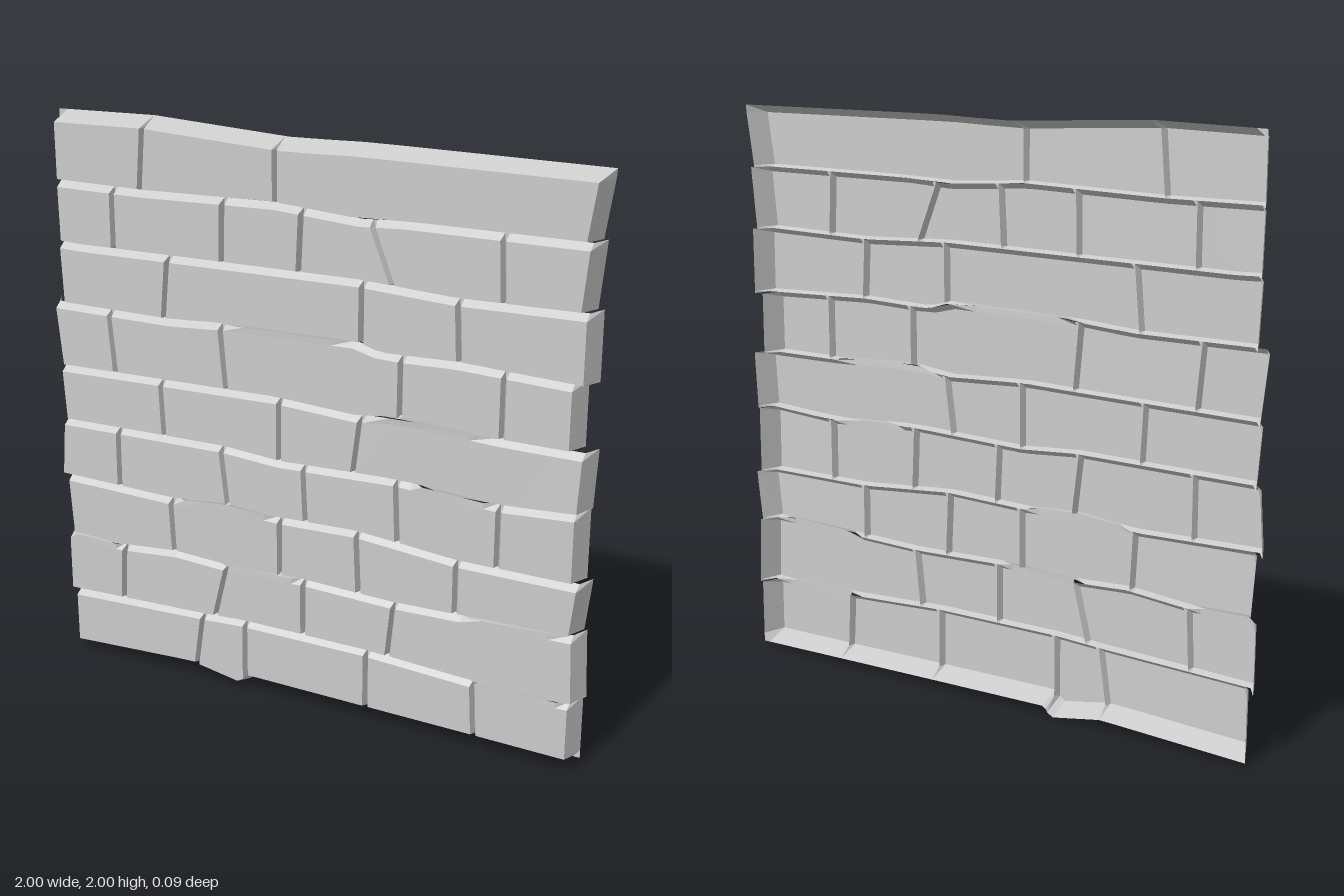
import * as THREE from 'three';

const BACK = -0.044, GROOVE = 0.012;

// Mortar lines from bottom to top, each a polyline of [x, y]
const lines = [
  [[-0.97, 0.01], [-0.44, 0.035], [-0.245, 0], [-0.225, 0.035], [0.24, 0.03], [0.99, 0.02]],
  [[-0.97, 0.24], [-0.42, 0.26], [-0.23, 0.27], [0.24, 0.27], [0.63, 0.25], [1, 0.25]],
  [[-1, 0.465], [-0.72, 0.46], [-0.5, 0.48], [-0.3, 0.47], [0, 0.48], [0.33, 0.47], [1, 0.49]],
  [[-1, 0.69], [-0.52, 0.68], [-0.3, 0.7], [-0.1, 0.69], [0.2, 0.7], [0.56, 0.67], [1, 0.67]],
  [[-1, 0.9], [-0.3, 0.91], [-0.09, 0.895], [0.35, 0.91], [0.7, 0.89], [1, 0.91]],
  [[-1, 1.1], [-0.3, 1.115], [-0.1, 1.12], [0.2, 1.105], [0.35, 1.125], [0.7, 1.11], [1, 1.11]],
  [[-1, 1.33], [-0.5, 1.33], [-0.3, 1.345], [0.2, 1.355], [0.28, 1.33], [0.54, 1.34], [1, 1.325]],
  [[-1, 1.55], [-0.85, 1.545], [-0.51, 1.55], [0.2, 1.56], [0.54, 1.545], [1, 1.555]],
  [[-1, 1.76], [-0.6, 1.76], [-0.1, 1.775], [0.2, 1.755], [0.35, 1.765], [1, 1.77]],
  [[-0.97, 1.99], [-0.59, 2], [-0.07, 1.975], [0.2, 1.985], [1, 1.985]],
];

// Per course: x of each upright joint as [at bottom, at top]; the ends are the panel rim
const courses = [
  [[-0.965, -0.965], [-0.43, -0.4], [-0.23, -0.23], [0.24, 0.24], [0.64, 0.63], [0.99, 0.99]],
  [[-0.985, -0.985], [-0.73, -0.72], [-0.35, -0.3], [0, 0], [0.32, 0.34], [1, 0.99]],
  [[-0.965, -0.98], [-0.51, -0.52], [-0.09, -0.09], [0.21, 0.2], [0.56, 0.56], [0.98, 1]],
  [[-1, -0.985], [-0.73, -0.73], [-0.29, -0.315], [0.01, 0], [0.35, 0.34], [0.7, 0.7], [0.98, 0.98]],
  [[-0.97, -0.985], [-0.54, -0.55], [-0.09, -0.09], [0.185, 0.21], [0.985, 0.995]],
  [[-0.975, -1], [-0.73, -0.75], [-0.29, -0.31], [0.35, 0.35], [0.7, 0.7], [0.95, 0.95]],
  [[-0.96, -0.97], [-0.53, -0.51], [0.21, 0.21], [0.55, 0.54], [0.985, 0.985]],
  [[-0.965, -0.97], [-0.72, -0.72], [-0.3, -0.295], [-0.015, -0.005], [0.32, 0.24], [0.69, 0.68], [0.965, 0.985]],
  [[-0.97, -0.97], [-0.61, -0.59], [-0.1, -0.1], [0.97, 1]],
];

// Stretches of mortar line worn flush with the stone: [line, from x, to x]
const worn = [[1, 0.64, 0.95], [2, -0.3, -0.01], [2, 0.62, 0.95], [2, -0.93, -0.73],
  [3, -0.5, -0.12], [5, 0.3, 0.68], [6, -0.28, 0.18], [4, 0.4, 0.66]];

const lerp = THREE.MathUtils.lerp;

function lineY(i, x) {
  const p = lines[i];
  let k = 1;
  while (k < p.length - 1 && x > p[k][0]) k++;
  const [a, b] = [p[k - 1], p[k]];
  return lerp(a[1], b[1], THREE.MathUtils.clamp((x - a[0]) / (b[0] - a[0]), 0, 1));
}

let seed = 7;
const rand = () => (seed = (seed * 16807) % 2147483647) / 2147483647;

// One stone: a raised face whose bevels run down to the mortar, or to the back at the rim
function stoneGeometry(row, left, right, leftRim, rightRim) {
  const bottomRim = row === 0, topRim = row === courses.length - 1;
  const insetL = leftRim ? 0.035 : 0.014, insetR = rightRim ? 0.025 : 0.006;
  const insetB = bottomRim ? 0.03 : 0.007, insetT = topRim ? 0.03 : 0.02;
  const tiltX = (rand() - 0.5) * 0.006, tiltY = (rand() - 0.5) * 0.006;
  const steps = 8, cols = steps + 3;
  const grid = [];
  for (let r = 0; r < 4; r++) {
    for (let c = 0; c < cols; c++) {
      const at = (x0, x1) => c === 0 ? x0 : c === cols - 1 ? x1
        : lerp(x0 + insetL, x1 - insetR, (c - 1) / steps);
      const t = [0, 0.05, 0.92, 1][r];
      const x = at(lerp(left[0], left[1], t), lerp(right[0], right[1], t));
      const yb = lineY(row, x), yt = lineY(row + 1, x);
      const y = [yb, yb + insetB, yt - insetT, yt][r];
      const face = 0.04 + tiltX * (c / (cols - 1) - 0.5) + tiltY * (t - 0.5);
      const line = r === 0 ? row : row + 1;
      const flush = worn.some(([i, a, b]) => i === line && x > a && x < b);
      let z = face;
      if ((r === 0 && bottomRim) || (r === 3 && topRim)
        || (c === 0 && leftRim) || (c === cols - 1 && rightRim)) z = BACK;
      else if (r === 0 || r === 3) z = flush ? 0.04 : GROOVE;
      else if (c === 0 || c === cols - 1) z = GROOVE;
      grid.push(x, y, z);
    }
  }
  const index = [];
  for (let r = 0; r < 3; r++) {
    for (let c = 0; c < cols - 1; c++) {
      const a = r * cols + c, b = a + 1, d = a + cols, e = d + 1;
      index.push(a, b, e, a, e, d);
    }
  }
  const geometry = new THREE.BufferGeometry();
  geometry.setAttribute('position', new THREE.Float32BufferAttribute(grid, 3));
  geometry.setIndex(index);
  const flat = geometry.toNonIndexed();
  flat.computeVertexNormals();
  return flat;
}

export function createModel() {
  seed = 7;
  const wall = new THREE.Group();
  wall.name = 'stoneWallPanel';
  const material = new THREE.MeshStandardMaterial({
    color: 0xcccccc, flatShading: true, side: THREE.DoubleSide,
  });

  // Courses of stones, open at the back
  courses.forEach((joints, row) => {
    const course = new THREE.Group();
    course.name = `course${row + 1}`;
    for (let i = 0; i < joints.length - 1; i++) {
      const stone = new THREE.Mesh(
        stoneGeometry(row, joints[i], joints[i + 1], i === 0, i === joints.length - 2), material);
      stone.name = `stone${i + 1}`;
      course.add(stone);
    }
    wall.add(course);
  });
  return wall;
}
